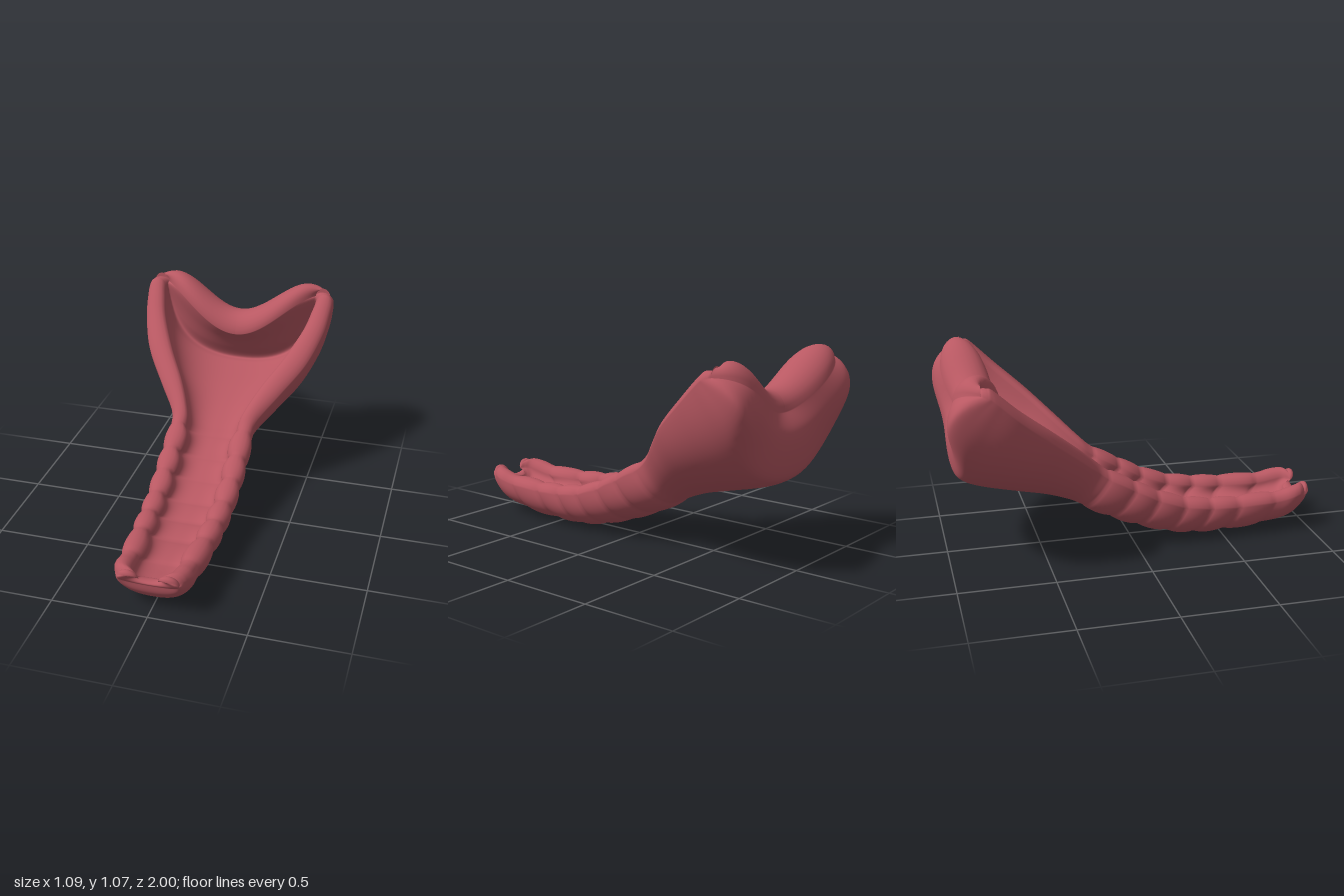
import * as THREE from 'three';
import { mergeVertices } from 'three/addons/utils/BufferGeometryUtils.js';

// Cross-sections from the front tip to the top of the back wall.
// Placement: z of rim, z of underside, z of floor, outward bow of the section, S-bend of the section
const PLACE = [
  [0.97, 0.966, 0.915, -0.012, 0.4], [0.955, 0.952, 0.905, -0.01, 0.2], [0.93, 0.9, 0.885, 0, 0], [0.88, 0.82, 0.83, 0, 0],
  [0.78, 0.7, 0.72, 0, 0], [0.57, 0.49, 0.51, 0, 0], [0.41, 0.32, 0.34, 0, 0], [0.26, 0.17, 0.19, 0, 0],
  [0.11, 0.01, 0.03, 0, 0], [-0.02, -0.14, -0.11, 0, 0], [-0.16, -0.28, -0.25, 0, 0], [-0.24, -0.36, -0.32, 0, 0],
  [-0.36, -0.49, -0.45, 0, 0], [-0.5, -0.66, -0.6, 0, 0], [-0.65, -0.82, -0.74, 0.01, 0], [-0.75, -0.91, -0.82, 0.04, 0],
  [-0.79, -0.955, -0.86, 0.08, 0], [-0.81, -0.972, -0.815, 0.105, 0.2], [-0.83, -0.96, -0.765, 0.08, 0.6], [-0.84, -0.91, -0.7, 0.065, 1],
];
// Size: outer half width, underside y, rim y, inner half width, floor y, roundness
const SIZE = [
  [0.158, 0.165, 0.242, 0.05, 0.175, 2.4], [0.17, 0.11, 0.25, 0.072, 0.157, 2.45], [0.186, 0.052, 0.25, 0.092, 0.14, 2.4], [0.2, 0.028, 0.242, 0.1, 0.13, 2.4],
  [0.2, 0.018, 0.222, 0.108, 0.118, 2.4], [0.212, 0.013, 0.22, 0.128, 0.115, 2.4], [0.22, 0.016, 0.23, 0.138, 0.125, 2.4], [0.226, 0.042, 0.255, 0.143, 0.15, 2.4],
  [0.23, 0.093, 0.31, 0.145, 0.2, 2.4], [0.23, 0.155, 0.378, 0.145, 0.265, 2.4], [0.23, 0.225, 0.455, 0.145, 0.33, 2.4], [0.25, 0.265, 0.525, 0.155, 0.375, 2.3],
  [0.35, 0.315, 0.64, 0.22, 0.43, 2.15], [0.46, 0.36, 0.77, 0.32, 0.48, 2.1], [0.523, 0.4, 0.9, 0.405, 0.52, 2.1], [0.543, 0.433, 0.995, 0.44, 0.545, 2.1],
  [0.545, 0.48, 1.03, 0.45, 0.56, 2.05], [0.543, 0.6, 1.035, 0.45, 0.64, 1.85], [0.535, 0.7, 1.035, 0.445, 0.71, 1.45], [0.525, 0.785, 1.032, 0.44, 0.775, 1.05],
];
const FIRST_GROOVE = 4, LAST_GROOVE = 10;
const ACROSS = 48, LIP = 4, STEPS = 10;

// Smooth value of every column at a fractional row
function sample(rows, t) {
  const i = Math.min(Math.floor(t), rows.length - 2), f = t - i;
  const at = (k) => rows[Math.max(0, Math.min(rows.length - 1, k))];
  return rows[i].map((_, c) => {
    const a = at(i - 1)[c], b = at(i)[c], d = at(i + 1)[c], e = at(i + 2)[c];
    const m0 = (d - a) / 2, m1 = (e - b) / 2;
    return b + m0 * f + (3 * (d - b) - 2 * m0 - m1) * f * f + (2 * (b - d) + m0 + m1) * f * f * f;
  });
}

// Closed section: outer U, rounded lip, inner U, rounded lip
function section(t) {
  const [zRim, zUnder, zFloor, bow, bend] = sample(PLACE, t);
  let [outer, under, rim, inner, floor, round] = sample(SIZE, t);
  if (t > FIRST_GROOVE && t < LAST_GROOVE) {
    const bump = 0.015 * Math.pow(Math.abs(Math.sin(Math.PI * t)), 0.7);
    outer += bump; under -= bump; rim += bump * 0.7; inner -= bump * 1.5; floor += bump * 0.6;
  }
  const lip = Math.min(0.05, (outer - inner) * 0.5) * (1 - 0.4 * bend);
  const end = rim - lip;
  const curve = (u, w, bottom, zBottom, p, bulge) => {
    const a = Math.abs(u) * Math.PI / 2;
    const x = Math.sign(u) * w * Math.pow(Math.sin(a), 2 / p);
    const v = 1 - Math.pow(Math.max(0, Math.cos(a)), 2 / p);
    const rise = THREE.MathUtils.lerp(v, v * v * (3 - 2 * v), bend);
    const shift = THREE.MathUtils.lerp(v, v * v * v, bend);
    return new THREE.Vector3(x, bottom + (end - bottom) * rise,
      zBottom + (zRim - zBottom) * shift - bulge * 6.75 * v * v * (1 - v));
  };
  const lipPoint = (side, a) => new THREE.Vector3(
    side * ((outer + inner) / 2 + Math.cos(a) * (outer - inner) / 2), end + Math.sin(a) * lip, zRim);
  const out = [], inn = [];
  const quarter = (k) => (k + 0.5) / LIP * Math.PI / 2;
  for (let k = LIP - 1; k >= 0; k--) {
    out.push(lipPoint(-1, quarter(k)));
    inn.push(lipPoint(-1, Math.PI - quarter(k)));
  }
  for (let k = 0; k <= ACROSS; k++) {
    const u = k / ACROSS * 2 - 1;
    out.push(curve(u, outer, under, zUnder, round, bow));
    inn.push(curve(u, inner, floor, zFloor, round * (1.1 - 0.1 * bend), bow * 0.5 * (1 - bend)));
  }
  for (let k = 0; k < LIP; k++) {
    out.push(lipPoint(1, quarter(k)));
    inn.push(lipPoint(1, Math.PI - quarter(k)));
  }
  return out.concat(inn.reverse());
}

// Rounded end wall: the outer and inner curves roll together along a direction
function endRings(ring, direction) {
  const rings = [];
  for (let k = 1; k <= 6; k++) {
    const a = k / 6 * Math.PI / 2;
    rings.push(ring.map((p, j) => {
      const mid = p.clone().add(ring[ring.length - 1 - j]).multiplyScalar(0.5);
      const radius = p.distanceTo(mid);
      return mid.lerp(p, Math.cos(a)).addScaledVector(direction, radius * Math.sin(a));
    }));
  }
  return rings;
}

function shellGeometry() {
  const body = [];
  const count = (PLACE.length - 1) * STEPS;
  for (let i = 0; i <= count; i++) body.push(section(i / STEPS));
  const front = endRings(body[0], new THREE.Vector3(0, 0.5, 0.6));
  const back = endRings(body[count], new THREE.Vector3(0, 1, 0));
  const rings = [...front.reverse(), ...body, ...back];
  const n = rings[0].length, positions = [], index = [];
  for (const ring of rings) for (const p of ring) positions.push(p.x, p.y, p.z);
  for (let i = 0; i < rings.length - 1; i++) {
    for (let j = 0; j < n; j++) {
      const a = i * n + j, b = i * n + (j + 1) % n;
      index.push(a, a + n, b, b, a + n, b + n);
    }
  }
  const geometry = new THREE.BufferGeometry();
  geometry.setAttribute('position', new THREE.Float32BufferAttribute(positions, 3));
  geometry.setIndex(index);
  const merged = mergeVertices(geometry, 1e-5);
  merged.computeVertexNormals();
  return merged;
}

export function createModel() {
  const group = new THREE.Group();
  group.name = 'ribbedTrough';
  const rose = new THREE.MeshStandardMaterial({ color: 0xb85862 });
  rose.name = 'dusty rose';
  const shell = new THREE.Mesh(shellGeometry(), rose);
  shell.name = 'ribbedShell';
  group.add(shell);
  return group;
}
